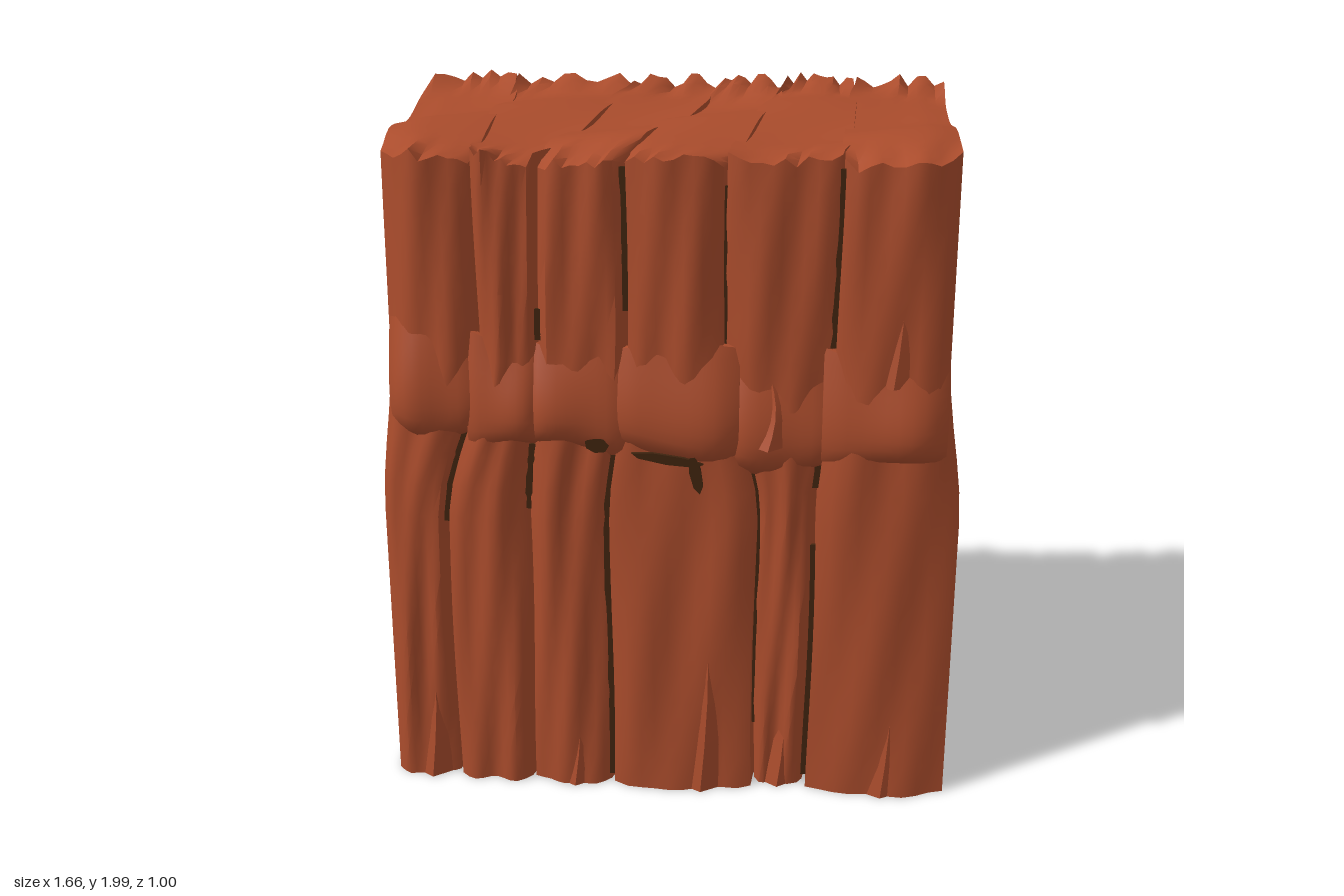
import * as THREE from 'three';
import { toCreasedNormals } from 'three/addons/utils/BufferGeometryUtils.js';

// Seam positions across the wall, [at the ground, at the top]
const frontSeams = [[-0.83, -0.79], [-0.64, -0.53], [-0.405, -0.36], [-0.17, -0.12], [0.255, 0.155], [0.415, 0.46], [0.83, 0.78]];
const backSeams = [[-0.83, -0.79], [-0.52, -0.5], [-0.18, -0.16], [0.08, 0.1], [0.29, 0.31], [0.52, 0.51], [0.83, 0.78]];

// Depth of each plank at the ground, the middle and the top
const frontDepth = [[0.45, 0.425, 0.38], [0.47, 0.43, 0.4], [0.47, 0.43, 0.39], [0.485, 0.44, 0.4], [0.44, 0.415, 0.38], [0.48, 0.44, 0.39]];
const backDepth = [[0.45, 0.43, 0.41], [0.48, 0.43, 0.38], [0.44, 0.415, 0.385], [0.48, 0.435, 0.39], [0.46, 0.43, 0.41], [0.485, 0.44, 0.41]];

const { lerp, smoothstep } = THREE.MathUtils;
const hash = (a, b, c) => {
  const s = Math.sin(a * 12.99 + b * 78.23 + c * 37.72) * 43758.55;
  return s - Math.floor(s);
};
const depthAt = ([low, mid, high], v) => v < 0.5 ? lerp(low, mid, v * 2) : lerp(mid, high, v * 2 - 1);

// Seams wander slightly; the two outer edges step inward at half height
function seamAt(seams, i, v) {
  const t = smoothstep(v, 0.45, 0.7);
  const outer = i === 0 || i === seams.length - 1;
  return lerp(seams[i][0], seams[i][1], t) + (outer ? 0 : 0.005 * Math.sin(v * 9 + i * 2.3));
}

// How far a plank face falls back towards its long edges; the wall corners are softer
function edgeDrop(i, u, v, lowCorner, highCorner) {
  const corner = (i === 0 && u < 0.5) || (i === 5 && u > 0.5);
  const amount = corner ? lerp(lowCorner, highCorner, v) : 0.028;
  return amount * Math.pow(Math.abs(2 * u - 1), corner ? 3 : 5);
}
const frontDrop = (i, u, v) => edgeDrop(i, u, v, 0.03, 0.1);
const backDrop = (i, u, v) => edgeDrop(i, u, v, i === 5 ? 0.065 : 0.02, 0.04);

// Moves every vertex of a unit box by a rule given in 0..1 coordinates
function shapedBox(nx, ny, nz, rule, crease) {
  const geometry = new THREE.BoxGeometry(1, 1, 1, nx, ny, nz);
  const p = geometry.attributes.position;
  for (let k = 0; k < p.count; k++) {
    p.setXYZ(k, ...rule(p.getX(k) + 0.5, p.getY(k) + 0.5, p.getZ(k) + 0.5));
  }
  return toCreasedNormals(geometry, crease);
}

// One rough full-depth plank, its top lumpy, rounded to the front and ragged at the back
function plankGeometry(i) {
  return shapedBox(10, 20, 16, (u, v, w) => {
    const gap = lerp(-0.012, 0.005, smoothstep(Math.abs(2 * w - 1), 0.7, 0.95));
    const left = lerp(seamAt(backSeams, i, v), seamAt(frontSeams, i, v), w) + (i > 0 ? gap : 0);
    const right = lerp(seamAt(backSeams, i + 1, v), seamAt(frontSeams, i + 1, v), w) - (i < 5 ? gap : 0);
    const fade = 1 - Math.pow(Math.abs(2 * u - 1), 4);
    const rough = (side) => fade * (0.01 * Math.sin(u * 6 + v * 5 + i * 2.1 + side)
      + 0.007 * Math.sin(u * 13 - v * 11 + i * 4.7 + side * 2));
    const front = depthAt(frontDepth[i], v) - frontDrop(i, u, v) + rough(0);
    const back = -depthAt(backDepth[i], v) + backDrop(i, u, v) + rough(3);
    const x = lerp(left, right, u);
    const z = lerp(back, front, w);

    const ragged = hash(Math.round(u * 10), w > 0.5 ? 1 : 0, i);
    const lumps = 0.013 * Math.sin(x * 9 + 2 * Math.sin(z * 6)) + 0.009 * Math.sin(z * 13 + i * 2.4);
    const backRim = smoothstep(1 - w, 0.84, 1);
    const frontRim = smoothstep(w, 0.82, 1);
    const endRim = smoothstep(Math.abs(x), 0.7, 0.79);
    const top = 1.937 + lumps * (1 - backRim) + backRim * (0.005 + 0.045 * ragged)
      - frontRim * (0.035 - 0.04 * ragged) - endRim * 0.012;
    return [x, v * lerp(1.94, top, smoothstep(v, 0.9, 1)), z];
  }, 0.75);
}

// One low swollen section of the belt, rising out of the plank and fading out upwards
function beltGeometry(i, side) {
  const seams = side > 0 ? frontSeams : backSeams;
  const depths = side > 0 ? frontDepth : backDepth;
  const drop = side > 0 ? frontDrop : backDrop;
  return shapedBox(10, 10, 1, (u, v, w) => {
    const x0 = seamAt(seams, i, 0.62) + (i > 0 ? -0.015 : 0.012);
    const x1 = seamAt(seams, i + 1, 0.62) + (i < 5 ? 0.015 : -0.012);
    const x = lerp(x0, x1, u);
    const centre = 1.23 - 0.06 * x + 0.02 * Math.sin(i * 2.6 + side);
    const halfHeight = 0.16 + 0.02 * Math.sin(u * 4 + i * 1.7);
    const profile = Math.sin(Math.PI * Math.pow(v, 0.6)) || 0;
    const swell = 0.028 + 0.012 * Math.sin(i * 3.1 + u * 5 + side);
    const surface = depthAt(depths[i], lerp(0.56, 0.7, v)) - drop(i, u, 0.62) * 0.9;
    const outer = surface - 0.02 + (swell + 0.02) * profile;
    return [x, centre + (2 * v - 1) * halfHeight, side * lerp(surface - 0.04, outer, side > 0 ? w : 1 - w)];
  }, 0.9);
}

// Bent splinter standing proud of a plank
function splinterGeometry(x, y, height, width, depth, side) {
  return shapedBox(2, 5, 1, (u, v, w) => {
    const taper = 1 - 0.7 * v;
    const ridge = u === 0.5 ? 0.02 : -0.02;
    const outer = depth + ridge * taper - 0.05 * v;
    return [x + (u - 0.5) * width * taper + 0.02 * Math.sin(v * 3), y + v * height,
      side * lerp(depth - 0.1, outer, side > 0 ? w : 1 - w)];
  }, 0.5);
}

// Dark line lying in the seam between planks i - 1 and i
function creviceGeometry(i, side, y0, y1, width) {
  const seams = side > 0 ? frontSeams : backSeams;
  const depths = side > 0 ? frontDepth : backDepth;
  return shapedBox(1, 12, 1, (u, v, w) => {
    const y = lerp(y0, y1, v);
    const t = y / 1.94;
    const outer = Math.min(depthAt(depths[i - 1], t), depthAt(depths[i], t)) - 0.022;
    const ragged = width * (0.6 + 0.8 * hash(Math.round(v * 12), i, side));
    return [seamAt(seams, i, t) + (u - 0.5) * ragged, y, side * lerp(outer - 0.008, outer, side > 0 ? w : 1 - w)];
  }, 0.5);
}

export function createModel() {
  const model = new THREE.Group();
  const wood = new THREE.MeshStandardMaterial({ color: 0xaa4c2c });
  wood.name = 'reddish brown wood';
  const shade = new THREE.MeshStandardMaterial({ color: 0x40240f });
  shade.name = 'dark crevice brown';
  const add = (name, geometry, material = wood) => {
    const mesh = new THREE.Mesh(geometry, material);
    mesh.name = name;
    model.add(mesh);
    return mesh;
  };

  // Planks and the belt sections in front of and behind them
  for (let i = 0; i < 6; i++) {
    add('plank', plankGeometry(i));
    add('frontBelt', beltGeometry(i, 1));
    add('backBelt', beltGeometry(i, -1));
  }

  // Splinters along the foot, under the top edge and beside the belt
  const splinters = [
    [-0.72, 0, 0.6, 0.12, 0.45, 1], [-0.28, 0, 0.5, 0.13, 0.47, 1], [0.1, 0, 0.75, 0.14, 0.48, 1],
    [0.33, 0, 0.45, 0.12, 0.44, 1], [0.64, 0, 0.55, 0.16, 0.48, 1], [0.62, 1.3, 0.45, 0.16, 0.41, 1],
    [-0.35, 0, 0.6, 0.14, 0.475, -1], [0.03, 0, 0.5, 0.12, 0.475, -1], [0.65, 0, 0.65, 0.16, 0.48, -1],
    [-0.66, 0, 0.5, 0.14, 0.455, -1], [0.28, 1.12, 0.2, 0.1, 0.445, 1], [0.62, 1.08, 0.2, 0.16, 0.46, -1],
  ];
  for (const s of splinters) add('splinter', splinterGeometry(...s));

  // Dark crevices: seam, side, lower end, upper end, width
  const crevices = [
    [1, 1, 0.85, 1.13, 0.026], [2, 1, 0.9, 1.1, 0.016], [2, 1, 1.41, 1.5, 0.03], [3, 1, 0.02, 0.7, 0.026],
    [3, 1, 0.7, 1.13, 0.02], [3, 1, 1.5, 1.9, 0.026], [4, 1, 0.2, 1.03, 0.012], [4, 1, 1.36, 1.85, 0.012],
    [5, 1, 0.02, 0.8, 0.026], [5, 1, 0.98, 1.06, 0.035], [5, 1, 1.4, 1.9, 0.018], [1, -1, 1.55, 1.65, 0.028],
    [4, -1, 0.95, 1.1, 0.018], [2, -1, 0.95, 1.1, 0.018],
  ];
  for (const c of crevices) add('crevice', creviceGeometry(...c), shade);

  // Dark hollows beside the belt: x, y, z, length, height, tilt
  const hollows = [
    [0, 1.085, 0.452, 0.21, 0.025, -0.15], [0.08, 1.04, 0.452, 0.035, 0.1, 0.2],
    [-0.2, 1.115, 0.43, 0.07, 0.04, -0.2], [0.42, 1.38, -0.43, 0.17, 0.03, 0.1],
  ];
  for (const [x, y, z, length, height, tilt] of hollows) {
    const hollow = add('hollow', new THREE.CylinderGeometry(0.5, 0.5, 0.009, 7).rotateX(Math.PI / 2), shade);
    hollow.scale.set(length, height * 1.2, 1);
    hollow.position.set(x, y, z);
    hollow.rotation.z = tilt;
  }

  // Knot holes and cracks on the left end: y, z, height, depth, lean
  const knots = [
    [0.88, 0.11, 0.055, 0.06, 0], [0.77, -0.25, 0.04, 0.03, 0], [0.03, -0.25, 0.04, 0.03, 0],
    [0.25, 0.33, 0.17, 0.009, 0], [0.35, 0.035, 0.17, 0.01, 0.1],
  ];
  for (const [y, z, height, depth, lean] of knots) {
    const knot = add('knotHole', new THREE.CylinderGeometry(0.5, 0.5, 0.006, 8).rotateZ(Math.PI / 2), shade);
    knot.scale.set(1, height, depth);
    knot.position.set(0.83, y, z);
    knot.rotation.x = lean;
  }

  return model;
}
